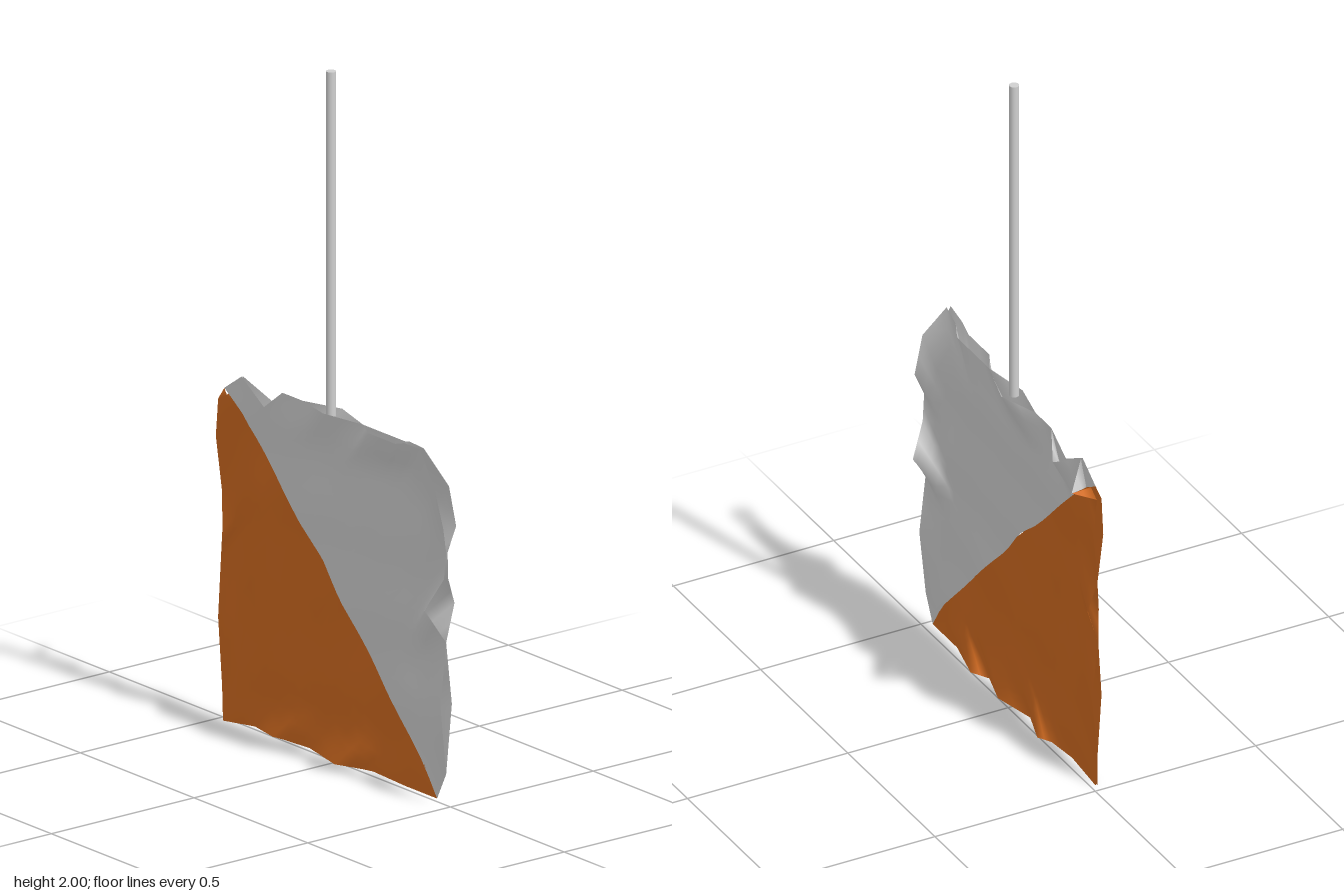
import * as THREE from 'three';

const MID = -0.015; // x of the cloth's middle plane

// Shared seam between the two colours, as [z, y]
const seam = [[0.46, 0.02], [0.41, 0.1], [0.2, 0.32], [0.04, 0.48], [-0.04, 0.58],
  [-0.14, 0.66], [-0.3, 0.82], [-0.4, 0.92], [-0.475, 0.963]];

// Outer edges, as [z, y, bulge of left layer, bulge of right layer]
const upperEdge = [
  [0.46, 0.02, 0, 0], [0.5, 0.1, 0, 0], [0.5, 0.3, 0.02, -0.02], [0.5, 0.48, 0, 0],
  [0.455, 0.57, 0.065, -0.04], [0.49, 0.66, 0.015, 0], [0.5, 0.74, 0.005, 0], [0.5, 0.81, 0.035, -0.01],
  [0.5, 0.93, 0.01, -0.04], [0.445, 1.035, -0.035, -0.048], [0.365, 1.03, -0.02, -0.04],
  [0.32, 1.015, 0, -0.035], [0.2, 1.015, 0, -0.035], [0.135, 1.015, 0, 0], [-0.01, 1.015, 0.042, -0.025],
  [-0.13, 1.015, 0, 0], [-0.22, 1.015, 0, 0], [-0.295, 0.955, 0.036, -0.005],
  [-0.4, 1.015, 0.005, 0], [-0.475, 0.963, 0.075, 0],
];
const lowerEdge = [
  [0.46, 0.02, 0, 0], [0.32, 0.02, 0, 0], [0.18, 0.025, 0.034, 0], [0.135, 0.02, 0, 0],
  [0.04, 0.015, 0.025, -0.025], [-0.1, 0.02, 0, 0], [-0.2, 0.02, 0.033, -0.01], [-0.24, 0.02, 0.01, -0.018],
  [-0.34, 0.02, 0, 0], [-0.475, 0.003, 0, -0.005], [-0.485, 0.1, 0, 0], [-0.49, 0.3, 0.02, -0.01],
  [-0.49, 0.47, 0, 0], [-0.465, 0.56, 0.02, -0.015], [-0.485, 0.66, 0, 0],
  [-0.5, 0.82, 0.02, -0.01], [-0.49, 0.93, 0.005, -0.01], [-0.475, 0.963, 0.075, 0],
];

const mix = (a, b, t) => a.map((v, i) => v + (b[i] - v) * t);

// Point at fraction t of a polyline's length
function along(points, t) {
  const lengths = points.slice(1).map((p, i) => Math.hypot(p[0] - points[i][0], p[1] - points[i][1]));
  let rest = t * lengths.reduce((a, b) => a + b, 0);
  for (let i = 0; i < lengths.length; i++) {
    if (rest <= lengths[i] || i === lengths.length - 1) {
      return mix(points[i], points[i + 1], Math.min(1, rest / lengths[i]));
    }
    rest -= lengths[i];
  }
}

// Split each edge segment so the folds blend into the flat cloth
function subdivide(points, n) {
  const out = [points[0]];
  for (let i = 1; i < points.length; i++) {
    for (let k = 1; k <= n; k++) out.push(mix(points[i - 1], points[i], k / n));
  }
  return out;
}

// One layer of one half: rows run from the seam to the crumpled outer edge
function clothLayer(edge, side, flip) {
  const outer = subdivide(edge, 2);
  const rows = 10;
  const positions = [];
  const index = [];
  let total = 0;
  const travelled = outer.map((p, i) => {
    if (i) total += Math.hypot(p[0] - outer[i - 1][0], p[1] - outer[i - 1][1]);
    return total;
  });
  outer.forEach((p, i) => {
    const inner = along(seam, travelled[i] / total);
    for (let r = 0; r <= rows; r++) {
      const s = 1 - (1 - r / rows) ** 2;
      const [z, y] = mix(inner, p.slice(0, 2), s);
      const distance = Math.hypot(z - p[0], y - p[1]);
      const fade = Math.max(0, 1 - distance / 0.14);
      const ripple = 0.004 * Math.sin(11 * z + 17 * y) * Math.sin(9 * y - 13 * z) * (1 - fade);
      const bulge = side > 0 ? p[2] : p[3];
      positions.push(MID + side * 0.002 * (1 - fade) + bulge * fade + ripple, y, z);
    }
  });
  const w = rows + 1;
  for (let i = 0; i < outer.length - 1; i++) {
    for (let r = 0; r < rows; r++) {
      const a = i * w + r, b = a + 1, c = a + w, d = c + 1;
      if (flip) index.push(a, b, c, b, d, c);
      else index.push(a, c, b, b, c, d);
    }
  }
  const geometry = new THREE.BufferGeometry();
  geometry.setAttribute('position', new THREE.Float32BufferAttribute(positions, 3));
  geometry.setIndex(index);
  geometry.computeVertexNormals();
  return geometry;
}

export function createModel() {
  const model = new THREE.Group();
  model.name = 'hangingMarker';
  const pale = new THREE.MeshStandardMaterial({ name: 'paleGrey', color: 0xd0d0d0, side: THREE.DoubleSide });
  const orange = new THREE.MeshStandardMaterial({ name: 'orange', color: 0xd06a20, side: THREE.DoubleSide });

  // Pole above the cloth
  const pole = new THREE.Mesh(new THREE.CylinderGeometry(0.014, 0.014, 0.995, 16), pale);
  pole.name = 'pole';
  pole.position.set(-0.016, 1.5025, -0.005);
  model.add(pole);

  // Two cloth halves, each with a left and a right layer facing outwards
  for (const [name, edge, material, upper] of [
    ['upperCloth', upperEdge, pale, true], ['lowerCloth', lowerEdge, orange, false],
  ]) {
    const half = new THREE.Group();
    half.name = name;
    for (const side of [1, -1]) {
      const layer = new THREE.Mesh(clothLayer(edge, side, upper === (side > 0)), material);
      layer.name = name + (side > 0 ? 'Left' : 'Right');
      half.add(layer);
    }
    model.add(half);
  }
  return model;
}
